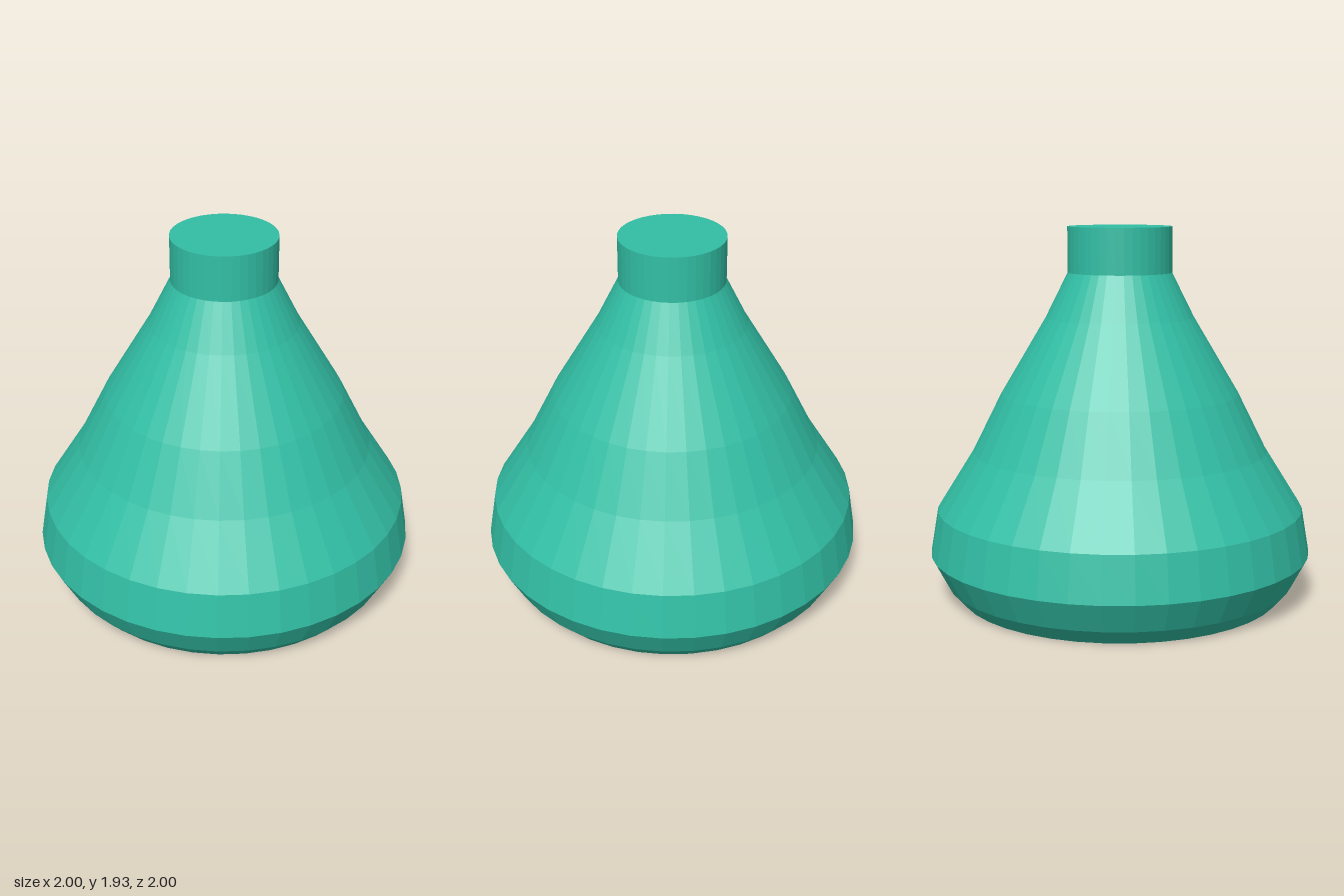
import * as THREE from 'three';

const SIDES = 40;
const NECK_RADIUS = 0.27;
const SHOULDER = 1.695;
const TOP = 1.93;

export function createModel() {
  const model = new THREE.Group();
  model.name = 'flask';
  const material = new THREE.MeshStandardMaterial({ color: 0x32bfa5, flatShading: true });

  const add = (name, geometry, y = 0) => {
    const mesh = new THREE.Mesh(geometry, material);
    mesh.name = name;
    mesh.position.y = y;
    model.add(mesh);
  };

  // Flat base, bevelled foot, wide belly and tapering shoulder
  const profile = [
    [0, 0], [0.85, 0], [0.92, 0.08], [1, 0.235], [0.96, 0.467],
    [0.77, 0.77], [0.62, 1.07], [0.385, 1.465], [NECK_RADIUS, SHOULDER],
  ].map(([r, y]) => new THREE.Vector2(r, y));
  add('body', new THREE.LatheGeometry(profile, SIDES));

  // Straight neck with a closed top
  const height = TOP - SHOULDER;
  add('neck', new THREE.LatheGeometry([
    new THREE.Vector2(NECK_RADIUS, 0),
    new THREE.Vector2(NECK_RADIUS, height),
    new THREE.Vector2(0, height),
  ], SIDES), SHOULDER);

  return model;
}
